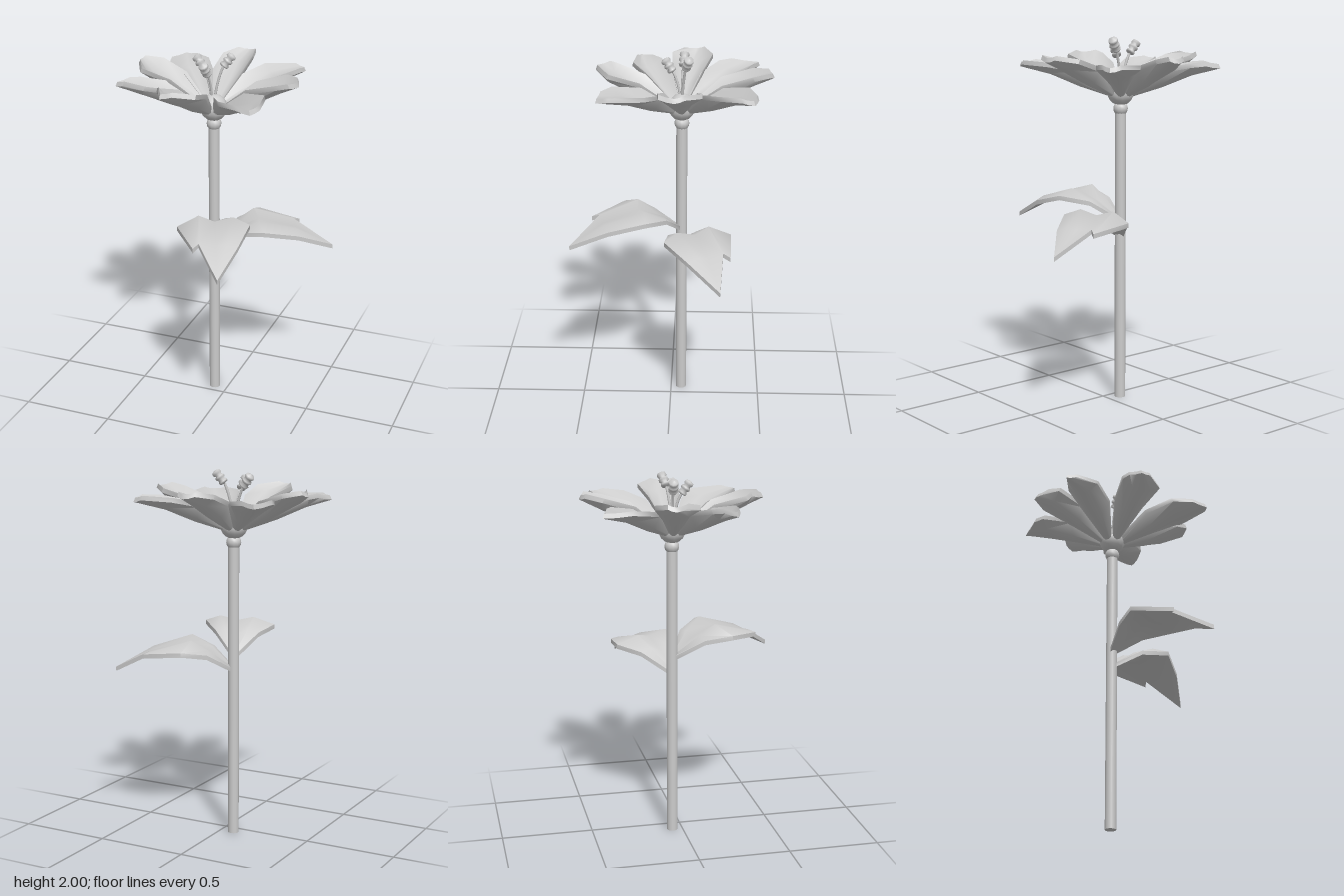
import * as THREE from 'three';
import { toCreasedNormals } from 'three/addons/utils/BufferGeometryUtils.js';

const mat = new THREE.MeshStandardMaterial({ color: 0xcccccc });

function mesh(name, geometry, x = 0, y = 0, z = 0) {
  const m = new THREE.Mesh(geometry, mat);
  m.name = name;
  m.position.set(x, y, z);
  return m;
}

// Solid sheet from rows of points; side = -1 mirrors it across its length,
// lean pushes the underside outwards
function sheet(rows, thickness, side, lean) {
  const pos = [];
  const at = (r, c, k) => {
    const [x, y, z] = rows[r][c], h = (k * thickness) / 2;
    return new THREE.Vector3(x - h * lean, y + h, z * side);
  };
  const tri = (a, b, c) => {
    const area = b.clone().sub(a).cross(c.clone().sub(a)).length();
    if (area < 1e-7) return;
    const order = side > 0 ? [a, b, c] : [a, c, b];
    order.forEach((p) => pos.push(p.x, p.y, p.z));
  };
  const quad = (a, b, c, d) => { tri(a, b, c); tri(a, c, d); };
  const R = rows.length - 1, C = rows[0].length - 1;
  for (let r = 0; r < R; r++) {
    for (let c = 0; c < C; c++) {
      quad(at(r, c, 1), at(r, c + 1, 1), at(r + 1, c + 1, 1), at(r + 1, c, 1));
      // same diagonal as the top face, reversed
      tri(at(r, c, -1), at(r + 1, c + 1, -1), at(r, c + 1, -1));
      tri(at(r, c, -1), at(r + 1, c, -1), at(r + 1, c + 1, -1));
    }
  }
  // rim around the outline
  const rim = [];
  for (let c = 0; c < C; c++) rim.push([0, c]);
  for (let r = 0; r < R; r++) rim.push([r, C]);
  for (let c = C; c > 0; c--) rim.push([R, c]);
  for (let r = R; r > 0; r--) rim.push([r, 0]);
  rim.forEach((p, i) => {
    const q = rim[(i + 1) % rim.length];
    quad(at(...p, 1), at(...p, -1), at(...q, -1), at(...q, 1));
  });
  const g = new THREE.BufferGeometry();
  g.setAttribute('position', new THREE.Float32BufferAttribute(pos, 3));
  return toCreasedNormals(g, 0.95);
}

// Cupped petal; its blunt end runs through three points (along, across)
function petalGeometry(width, rise, left, tip, right) {
  const w = 0.113 * width;
  // left, middle and right point, midline height above the base, edge lift
  const stations = [
    [[0.05, -0.018], [0.05, 0], [0.05, 0.018], 0, 0.01],
    [[0.22, -0.084], [0.22, 0], [0.22, 0.084], 0.068, 0.08],
    [[0.38, -w], [0.38, 0], [0.38, w], 0.15, 0.045],
    [left, tip, right, 0.2, 0.012],
  ];
  const rows = stations.map(([a, m, b, y, lift]) =>
    [-1, -0.5, 0, 0.5, 1].map((f) => {
      const e = f < 0 ? a : b, t = Math.abs(f);
      return [m[0] + (e[0] - m[0]) * t - 0.005, 1.685 + y * rise + lift * t * t, m[1] + (e[1] - m[1]) * t];
    }));
  return sheet(rows, 0.023, 1, 0.45);
}

// Arched leaf with a shallow midrib and a notch near the tip
function leafGeometry(length, side) {
  const tip = [length, 0.985, 0], notch = [0.443, 1.1, 0.09];
  const rows = [
    [[0, 1.0, -0.015], [0, 1.0, -0.008], [0, 1.0, 0], [0, 1.0, 0.008], [0, 1.0, 0.015]],
    [[0.13, 1.1, -0.115], [0.13, 1.105, -0.06], [0.12, 1.08, 0], [0.13, 1.105, 0.06], [0.13, 1.09, 0.12]],
    [[0.28, 1.13, -0.185], [0.25, 1.162, -0.1], [0.25, 1.138, 0], [0.22, 1.162, 0.085], [0.255, 1.115, 0.2]],
    [[0.465, 1.08, -0.11], [0.455, 1.1, -0.055], [0.45, 1.09, 0], notch, [0.475, 1.085, 0.12]],
    [tip, tip, tip, tip, notch],
  ];
  return sheet(rows, 0.024, side, 0);
}

function stamen([x, y, z]) {
  const g = new THREE.Group();
  g.name = 'stamen';
  const end = new THREE.Vector3(x, y, z);
  const curve = new THREE.QuadraticBezierCurve3(
    new THREE.Vector3(x * 0.15, 1.74, z * 0.15),
    new THREE.Vector3(x * 0.35, 1.84, z * 0.35), end);
  g.add(mesh('filament', new THREE.TubeGeometry(curve, 8, 0.007, 6)));
  // ribbed anther
  const profile = [[0, 0], [0.022, 0.004], [0.026, 0.014], [0.017, 0.026], [0.027, 0.036],
    [0.026, 0.046], [0.017, 0.054], [0.026, 0.064], [0.024, 0.078], [0, 0.086]];
  const anther = mesh('anther', new THREE.LatheGeometry(profile.map((p) => new THREE.Vector2(...p)), 10));
  anther.position.copy(end);
  anther.quaternion.setFromUnitVectors(new THREE.Vector3(0, 1, 0), new THREE.Vector3(x * 12, 0.8, z * 12).normalize());
  g.add(anther);
  return g;
}

export function createModel() {
  const root = new THREE.Group();
  root.name = 'flower';
  const plant = new THREE.Group();
  plant.name = 'plant';
  plant.position.set(-0.08, 0, -0.055);
  root.add(plant);

  // stem and flower base
  plant.add(mesh('stem', new THREE.CylinderGeometry(0.03, 0.03, 1.62, 14), 0.004, 0.81, -0.002));
  plant.add(mesh('neck', new THREE.SphereGeometry(0.04, 12, 8), 0.004, 1.613, -0.002));
  plant.add(mesh('flowerCentre', new THREE.SphereGeometry(0.073, 12, 10), 0.003, 1.702, -0.001));

  // petals: angle in degrees, width, rise, then the end's left, tip and right points
  const petals = [
    [0, 1, 1, [0.465, -0.025], [0.48, 0.025], [0.455, 0.105]],
    [46, 1.13, 0.8, [0.533, -0.028], [0.556, 0.036], [0.489, 0.086]],
    [98, 1, 1, [0.451, -0.018], [0.47, 0.04], [0.41, 0.085]],
    [148, 0.78, 0.82, [0.477, -0.008], [0.509, 0.036], [0.44, 0.065]],
    [188, 1, 1, [0.425, -0.05], [0.466, 0.01], [0.46, 0.053]],
    [228, 1, 0.8, [0.442, -0.08], [0.533, 0.035], [0.46, 0.075]],
    [270, 0.76, 1, [0.465, -0.025], [0.485, 0.03], [0.465, 0.073]],
    [312.4, 1, 0.82, [0.517, -0.02], [0.54, 0.035], [0.492, 0.076]],
  ];
  petals.forEach(([deg, ...shape]) => {
    const petal = mesh('petal', petalGeometry(...shape));
    petal.rotation.y = -THREE.MathUtils.degToRad(deg);
    plant.add(petal);
  });

  // stamens, by anther base
  [[0.048, 1.922, -0.021], [-0.052, 1.905, -0.007], [-0.011, 1.888, 0.045]].forEach((p) => plant.add(stamen(p)));

  // two mirrored leaves: angle, height offset, length, side
  [[66.9, 0, 0.645, 1], [-19, -0.083, 0.658, -1]].forEach(([deg, y, length, side]) => {
    const leaf = mesh('leaf', leafGeometry(length, side), 0, y, 0);
    leaf.rotation.y = -THREE.MathUtils.degToRad(deg);
    plant.add(leaf);
  });
  return root;
}
